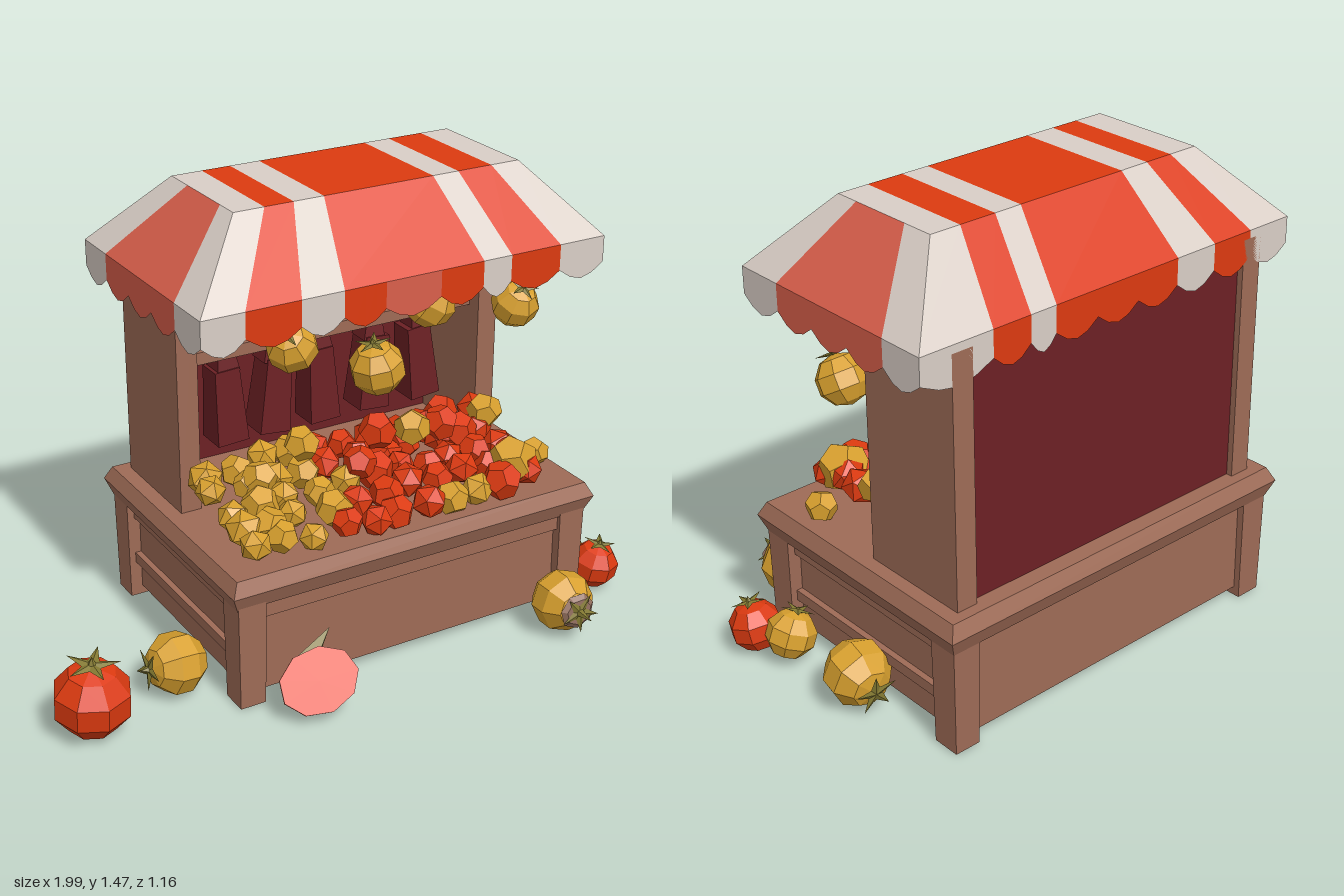
import * as THREE from 'three';

const mat = (name, color, side = THREE.FrontSide) =>
  new THREE.MeshStandardMaterial({ name, color, side, flatShading: true });

export function createModel() {
  const stall = new THREE.Group();
  stall.name = 'marketStall';
  const wood = mat('wood', 0x9e6b56);
  const maroon = mat('maroonCloth', 0x6c2024);
  const yellow = mat('yellowFruit', 0xd8a02e);
  const leaf = mat('leaf', 0x847a32, THREE.DoubleSide);
  const stemWood = mat('stem', 0x94705f);
  const red = mat('red', 0xdc3a10, THREE.DoubleSide);
  const white = mat('white', 0xd9cec6, THREE.DoubleSide);
  const coral = mat('coral', 0xd95f4b, THREE.DoubleSide);

  let seed = 11;
  const rnd = () => (seed = (seed * 16807) % 2147483647) / 2147483647;

  const add = (name, geo, material, x = 0, y = 0, z = 0, parent = stall) => {
    const m = new THREE.Mesh(geo, material);
    m.name = name;
    m.position.set(x, y, z);
    parent.add(m);
    return m;
  };
  // Box given by its limits; grow widens (or narrows) the top
  const block = (name, material, x0, x1, y0, y1, z0, z1, grow = 0) => {
    const g = new THREE.BoxGeometry(x1 - x0, y1 - y0, z1 - z0);
    const p = g.attributes.position;
    for (let i = 0; i < p.count; i++) {
      if (p.getY(i) < 0) continue;
      p.setX(i, p.getX(i) + Math.sign(p.getX(i)) * grow);
      p.setZ(i, p.getZ(i) + Math.sign(p.getZ(i)) * grow);
    }
    return add(name, g, material, (x0 + x1) / 2, (y0 + y1) / 2, (z0 + z1) / 2);
  };

  // Counter base with bevelled top slab
  block('counterBody', wood, -0.41, 0.76, 0.04, 0.36, -0.53, 0.28);
  block('slabLower', wood, -0.455, 0.805, 0.35, 0.405, -0.555, 0.31, 0.022);
  block('slabUpper', wood, -0.477, 0.827, 0.405, 0.45, -0.577, 0.332, -0.022);
  for (const x of [-0.45, 0.715]) {
    for (const z of [-0.55, 0.22]) block('leg', wood, x, x + 0.085, 0.01, 0.36, z, z + 0.09, 0.004);
  }
  for (const x of [-0.43, 0.75]) {
    block('sideTopRail', wood, x, x + 0.03, 0.3, 0.36, -0.5, 0.25);
    block('sideMiddleRail', wood, x, x + 0.03, 0.135, 0.17, -0.5, 0.25);
  }
  block('frontTopRail', wood, -0.4, 0.75, 0.3, 0.36, 0.27, 0.3);

  // Uprights, back wall and shelf
  for (const x of [-0.405, 0.69]) block('sidePost', wood, x, x + 0.07, 0.44, 1.23, -0.52, -0.15);
  block('backWall', maroon, -0.34, 0.7, 0.44, 1.24, -0.5, -0.46);
  block('shelf', wood, -0.34, 0.7, 0.91, 0.95, -0.46, -0.2);
  block('ceiling', wood, -0.5, 0.845, 1.225, 1.24, -0.5, 0.23);

  // Hanging cloth bundles
  [[-0.16, 0.05], [0.01, -0.1], [0.18, 0.04], [0.38, -0.08], [0.56, 0.1]].forEach(([x, tilt]) => {
    const b = block('hangingBundle', maroon, x - 0.055, x + 0.055, 0.58, 0.83, -0.38, -0.27, -0.012);
    b.rotation.z = tilt;
    const t = block('bundleTop', maroon, x - 0.04, x + 0.04, 0.82, 0.88, -0.365, -0.285, -0.01);
    t.rotation.z = tilt;
  });

  // Striped canopy: quads between matching ridge and eave points
  const quad = (name, material, a, b, c, d) => {
    const g = new THREE.BufferGeometry();
    g.setAttribute('position', new THREE.Float32BufferAttribute([a, b, c, a, c, d].flat(), 3));
    g.computeVertexNormals();
    add(name, g, material);
  };
  const RY = 1.473, EY = 1.255, RF = 0.055, RB = -0.335, EF = 0.25, EB = -0.52;
  const ridge = [-0.31, -0.21, -0.115, -0.015, 0.36, 0.45, 0.57, 0.67];
  const front = [-0.52, -0.38, -0.2, -0.06, 0.42, 0.52, 0.7, 0.865];
  const back = [-0.52, -0.36, -0.21, -0.06, 0.4, 0.49, 0.62, 0.865];
  for (let i = 0; i < 7; i++) {
    const m = i % 2 ? red : white, j = i + 1;
    quad('canopyTop', m, [ridge[i], RY, RF], [ridge[j], RY, RF], [ridge[j], RY, RB], [ridge[i], RY, RB]);
    quad('canopyFront', m, [front[i], EY, EF], [front[j], EY, EF], [ridge[j], RY, RF], [ridge[i], RY, RF]);
    quad('canopyBack', m, [back[j], EY, EB], [back[i], EY, EB], [ridge[i], RY, RB], [ridge[j], RY, RB]);
  }
  const sideRidge = [RF, -0.025, -0.23, RB], sideEave = [EF, 0.09, -0.37, EB];
  for (let i = 0; i < 3; i++) {
    const m = i === 1 ? coral : white, j = i + 1;
    quad('canopyRight', m, [0.865, EY, sideEave[i]], [0.865, EY, sideEave[j]], [0.67, RY, sideRidge[j]], [0.67, RY, sideRidge[i]]);
    quad('canopyLeft', m, [-0.52, EY, sideEave[j]], [-0.52, EY, sideEave[i]], [-0.31, RY, sideRidge[i]], [-0.31, RY, sideRidge[j]]);
  }

  // Scalloped valance: each coloured panel sags at its middle
  const valance = (stops, colours, at, turned) => {
    colours.forEach((m, i) => {
      const [a, b] = [stops[i], stops[i + 1]];
      const n = Math.max(1, Math.round(Math.abs(b - a) / 0.17));
      for (let k = 0; k < n * 4; k++) {
        const pt = (s, low) => {
          const u = a + (b - a) * s / (n * 4);
          const y = low ? 1.172 - 0.04 * Math.sin(Math.PI * (s % 4) / 4) : EY;
          return turned ? [at, y, u] : [u, y, at];
        };
        quad('valance', m, pt(k, true), pt(k + 1, true), pt(k + 1, false), pt(k, false));
      }
    });
  };
  valance([...front.slice(0, 4), 0.08, 0.27, ...front.slice(4)],
    [white, red, white, red, coral, red, white, red, white], EF, false);
  valance([...back].reverse(), [white, red, white, red, white, red, white], EB, false);
  valance(sideEave, [white, coral, white], 0.865, true);
  valance([...sideEave].reverse(), [white, coral, white], -0.52, true);

  // Faceted fruit with a leaf crown and a stem along dir
  const up = new THREE.Vector3(0, 1, 0);
  const fruit = (name, material, x, y, z, r, dir = [0, 1, 0], stem = 0.5) => {
    const g = new THREE.Group();
    g.name = name;
    g.position.set(x, y, z);
    g.quaternion.setFromUnitVectors(up, new THREE.Vector3(...dir).normalize());
    stall.add(g);
    const body = add('fruitBody', new THREE.SphereGeometry(r, 8, 5), material, 0, 0, 0, g);
    body.scale.y = 0.95;
    for (let i = 0; i < 5; i++) {
      const holder = new THREE.Group();
      holder.name = 'leafHolder';
      holder.rotation.y = i * Math.PI * 0.4;
      g.add(holder);
      const l = add('leaf', new THREE.ConeGeometry(r * 0.2, r * 0.7, 4), leaf, 0, r * 0.97, r * 0.33, holder);
      l.rotation.x = Math.PI / 2 - 0.1;
      l.scale.z = 0.4;
    }
    add('stem', new THREE.ConeGeometry(r * 0.16, r * stem, 5), leaf, 0, r * (0.9 + stem / 2), 0, g);
    return g;
  };

  // Fruit on the ground
  fruit('largeTomato', red, -0.875, 0.125, 0.19, 0.125, [0, 1, 0.1], 0.3);
  fruit('groundGourd', yellow, -0.57, 0.11, 0.12, 0.1, [-1, 0.12, 0.1], 0.35);
  fruit('rightTomato', red, 0.915, 0.092, 0.25, 0.083, [0.1, 1, 0.2], 0.3);
  fruit('rightGourd', yellow, 0.85, 0.112, -0.17, 0.103, [0.1, -0.2, -1], 0.1);
  fruit('backGourd', yellow, 0.87, 0.1, 0.13, 0.08, [-0.4, 1, 0], 0.2);
  const gourd = fruit('frontGourd', yellow, 0.655, 0.115, 0.42, 0.102, [-0.05, 0.05, 1], 0.7);
  add('gourdCap', new THREE.CylinderGeometry(0.045, 0.062, 0.012, 7), stemWood, 0, 0.09, 0, gourd);

  // Halved tomato: cut face towards the front, leafy half behind
  const half = new THREE.Group();
  half.name = 'halvedTomato';
  half.position.set(-0.25, 0.105, 0.42);
  half.quaternion.setFromUnitVectors(up, new THREE.Vector3(-0.25, 0.6, 0.75).normalize());
  stall.add(half);
  add('cutFace', new THREE.CylinderGeometry(0.125, 0.125, 0.009, 9), red, 0, 0.03, 0, half).scale.z = 0.8;
  const shell = add('halfBody', new THREE.SphereGeometry(0.118, 9, 3, 0, Math.PI * 2, Math.PI / 2, Math.PI / 2), yellow, 0, 0.026, 0, half);
  shell.scale.z = 0.8;
  const tail = add('halfLeaf', new THREE.ConeGeometry(0.04, 0.12, 4), leaf, -0.2, 0.18, 0.34);
  tail.rotation.z = -0.7;

  // Fruit hanging under the canopy
  [[-0.15, 1.05, 0.1, 0.082], [0.045, 1.0, 0.26, 0.086], [0.385, 1.055, 0.02, 0.084], [0.74, 0.965, -0.02, 0.08]]
    .forEach(([x, y, z, r]) => fruit('hangingFruit', yellow, x, y, z, r, [rnd() - 0.5, 0.8, rnd()], 0.3));

  // Heap of small produce on the counter, yellow to the left and red to the right
  for (let row = 0; row < 5; row++) {
    for (let col = 0; col < 11; col++) {
      const x = -0.35 + col * 0.098 + (rnd() - 0.5) * 0.04;
      const z = 0.24 - row * 0.085 + (rnd() - 0.5) * 0.03;
      const r = 0.048 + rnd() * 0.017;
      const y = 0.485 + row * 0.022 + rnd() * 0.03;
      const isYellow = x + (rnd() - 0.5) * 0.25 < 0.02 || (row === 0 && rnd() < 0.3);
      const geo = col % 2 ? new THREE.DodecahedronGeometry(r) : new THREE.IcosahedronGeometry(r);
      const m = add(isYellow ? 'yellowProduce' : 'redProduce', geo, isYellow ? yellow : red, x, y, z);
      m.rotation.set(rnd() * 3, rnd() * 3, rnd() * 3);
    }
  }
  [[0.595, 0.535, 0.2, 0.082, yellow], [0.74, 0.495, 0.12, 0.05, yellow], [0.33, 0.64, 0.02, 0.06, yellow],
    [-0.05, 0.66, -0.02, 0.058, yellow], [0.65, 0.6, -0.04, 0.06, yellow], [0.2, 0.66, 0.02, 0.062, red],
    [0.45, 0.62, 0.0, 0.06, red], [-0.22, 0.6, 0.02, 0.058, yellow], [0.1, 0.6, 0.08, 0.055, red]]
    .forEach(([x, y, z, r, m]) => add('topProduce', new THREE.DodecahedronGeometry(r), m, x, y, z).rotation.set(rnd(), rnd(), 0));

  return stall;
}
